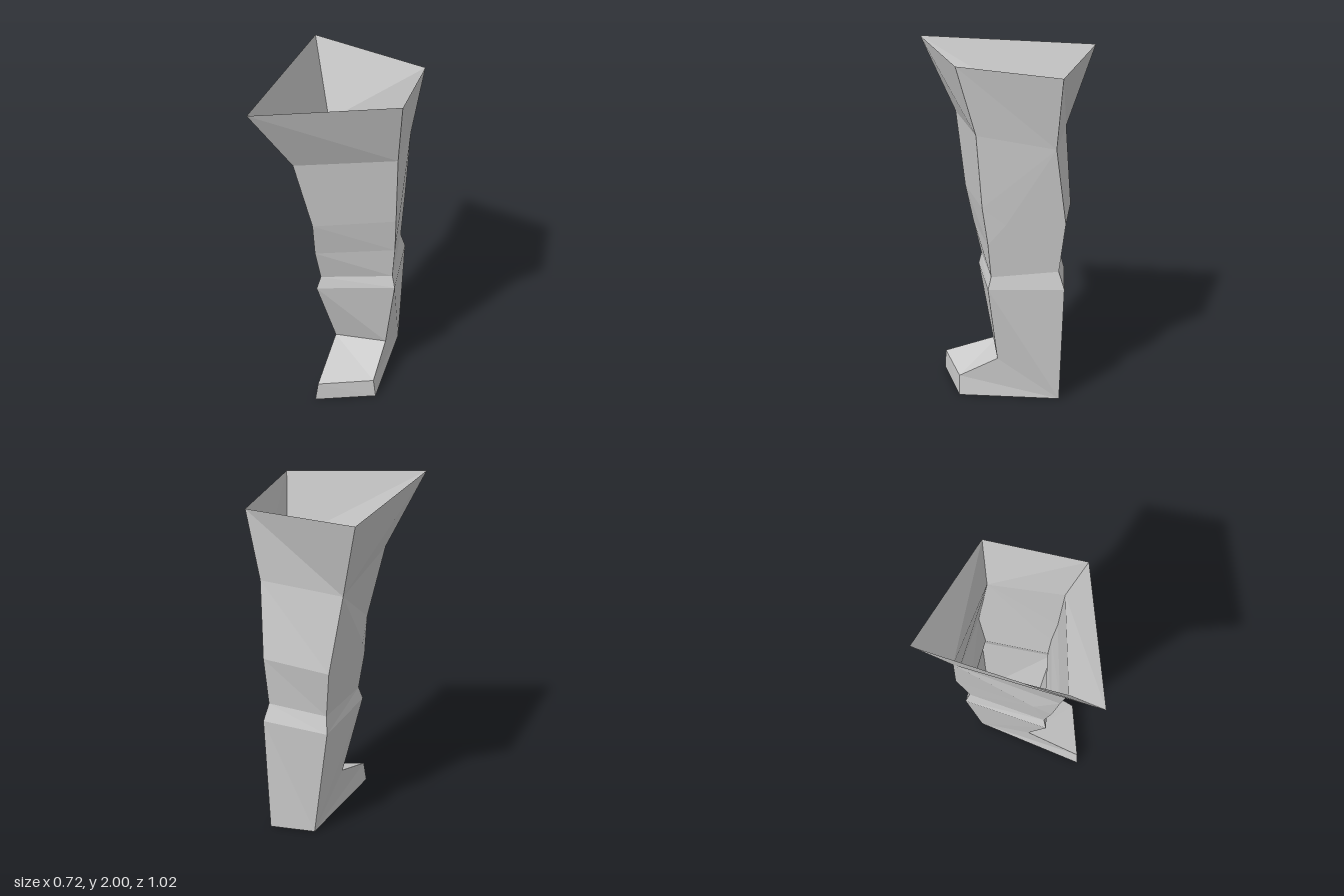
import * as THREE from 'three';

// Corner edges of the leg, listed from the open top down to the sole: [x, y, z]
const frontRight = [ // -x side
  [-0.36, 2, 0.51], [-0.21, 1.6, 0.28], [-0.13, 1.18, 0.215], [-0.135, 0.96, 0.17], [-0.12, 0.76, 0.12],
  [-0.14, 0.685, 0.14], [-0.07, 0.245, 0.005], [-0.07, 0.12, 0.335], [-0.085, 0, 0.345],
];
const frontLeft = [ // +x side
  [0.36, 2, 0.18], [0.315, 1.615, 0.08], [0.305, 1.2, 0.05], [0.295, 0.98, 0.02], [0.28, 0.78, 0.005],
  [0.3, 0.71, 0.02], [0.24, 0.25, -0.025], [0.235, 0.12, 0.2], [0.25, 0, 0.2],
];
const backRight = [
  [-0.36, 1.98, -0.51], [-0.23, 1.53, -0.36], [-0.165, 1.08, -0.4],
  [-0.125, 0.79, -0.345], [-0.14, 0.69, -0.37], [-0.04, 0, -0.33],
];
const backLeft = [
  [0.325, 1.945, -0.385], [0.265, 1.54, -0.35], [0.23, 1.1, -0.405],
  [0.22, 0.81, -0.37], [0.24, 0.71, -0.405], [0.22, 0, -0.385],
];

const material = new THREE.MeshStandardMaterial({
  color: 0xcccccc, flatShading: true, side: THREE.DoubleSide,
});

// Builds one panel from convex polygons, each cut into a fan of triangles
function panel(name, polygons, flip = false) {
  const positions = [];
  for (const polygon of polygons) {
    const p = flip ? [polygon[0], ...polygon.slice(1).reverse()] : polygon;
    for (let i = 1; i < p.length - 1; i++) positions.push(...p[0], ...p[i], ...p[i + 1]);
  }
  const geometry = new THREE.BufferGeometry();
  geometry.setAttribute('position', new THREE.Float32BufferAttribute(positions, 3));
  geometry.computeVertexNormals();
  const mesh = new THREE.Mesh(geometry, material);
  mesh.name = name;
  return mesh;
}

// Bands between two corner edges with matching points
const bands = (a, b) => a.slice(1).map((p, i) => [a[i], p, b[i + 1], b[i]]);

// Side of the leg; the calf creases meet at the point m
const sideFaces = (f, b, m) => [
  [f[0], f[1], b[1], b[0]],
  [b[1], f[1], f[2], m, b[2]],
  [f[2], f[3], m],
  [m, f[3], f[4], b[3], b[2]],
  [f[4], f[5], b[4], b[3]],
  [f[5], f[6], b[5], b[4]],
  [b[5], f[6], f[7], f[8]],
];

export function createModel() {
  const leg = new THREE.Group();
  leg.name = 'leg';
  leg.add(
    panel('shinAndFootTop', bands(frontRight, frontLeft)),
    panel('calfAndHeel', bands(backLeft, backRight)),
    panel('leftSide', sideFaces(frontLeft, backLeft, [0.285, 1.1, -0.08])),
    panel('rightSide', sideFaces(frontRight, backRight, [-0.165, 1.08, 0.07]), true),
    panel('sole', [[frontRight[8], backRight[5], backLeft[5], frontLeft[8]]]),
  );
  return leg;
}
